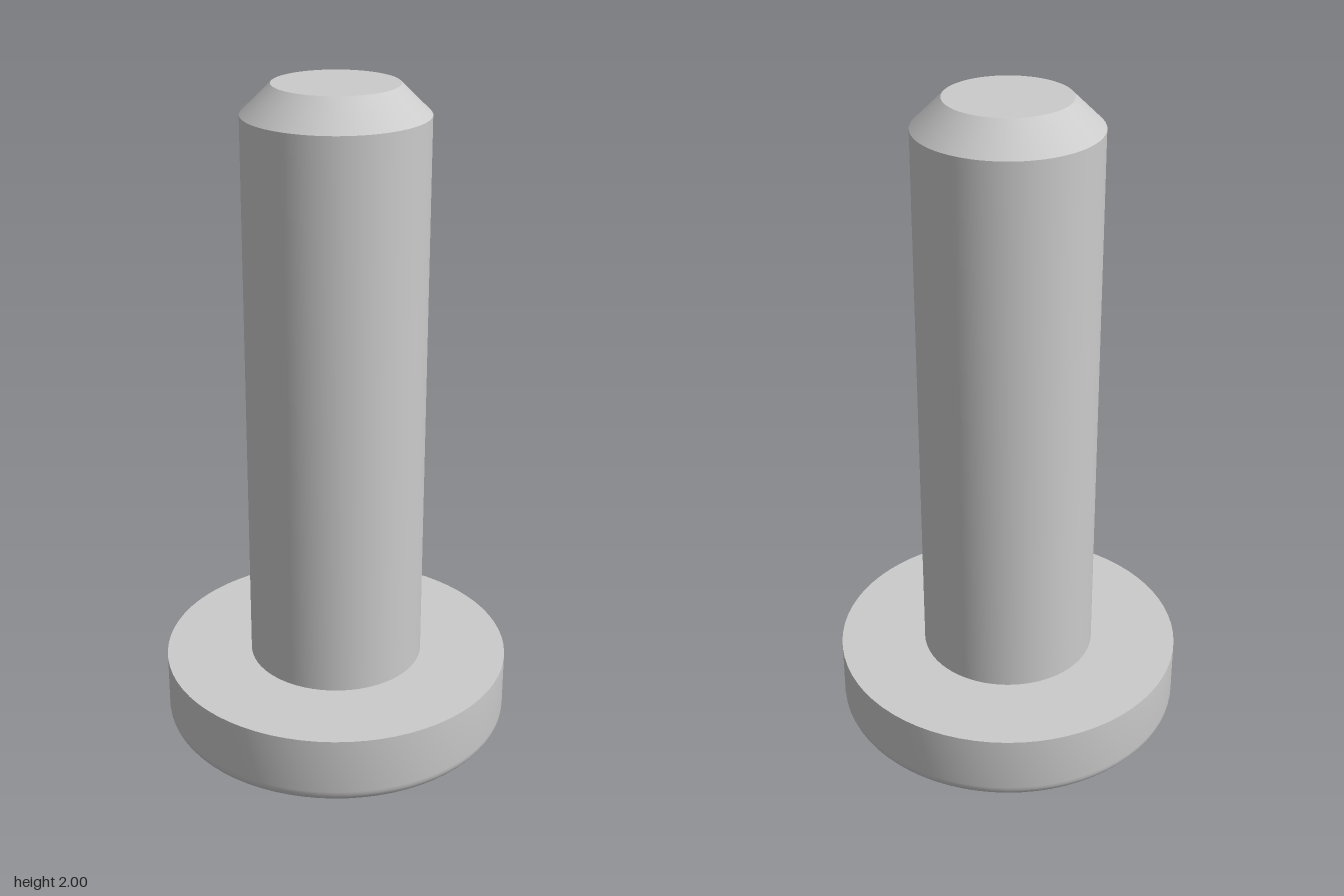
import * as THREE from 'three';
import { toCreasedNormals } from 'three/addons/utils/BufferGeometryUtils.js';

const SEGMENTS = 72;

// Revolve a bottom-to-top profile of [radius, y] points, keeping hard edges sharp
function revolve(name, profile, material) {
  const points = profile.map(([r, y]) => new THREE.Vector2(r, y));
  const geometry = toCreasedNormals(new THREE.LatheGeometry(points, SEGMENTS), 0.5);
  const mesh = new THREE.Mesh(geometry, material);
  mesh.name = name;
  return mesh;
}

export function createModel() {
  const material = new THREE.MeshStandardMaterial({ color: 0xcccccc });
  const headRadius = 0.532, headHeight = 0.22, fillet = 0.045;
  const shaftRadius = 0.267, tipRadius = 0.18, chamferStart = 1.915, top = 2;

  // Head: flat disc with a rounded lower rim
  const headProfile = [[0, 0]];
  const steps = 6;
  for (let i = 0; i <= steps; i++) {
    const a = (i / steps) * Math.PI / 2;
    headProfile.push([
      headRadius - fillet + fillet * Math.sin(a),
      fillet - fillet * Math.cos(a),
    ]);
  }
  headProfile.push([headRadius, headHeight], [shaftRadius, headHeight]);

  // Shaft: plain cylinder with a chamfered tip
  const shaftProfile = [
    [shaftRadius, headHeight],
    [shaftRadius, chamferStart],
    [tipRadius, top],
    [0, top],
  ];

  const model = new THREE.Group();
  model.name = 'pin';
  model.add(revolve('head', headProfile, material), revolve('shaft', shaftProfile, material));
  return model;
}
